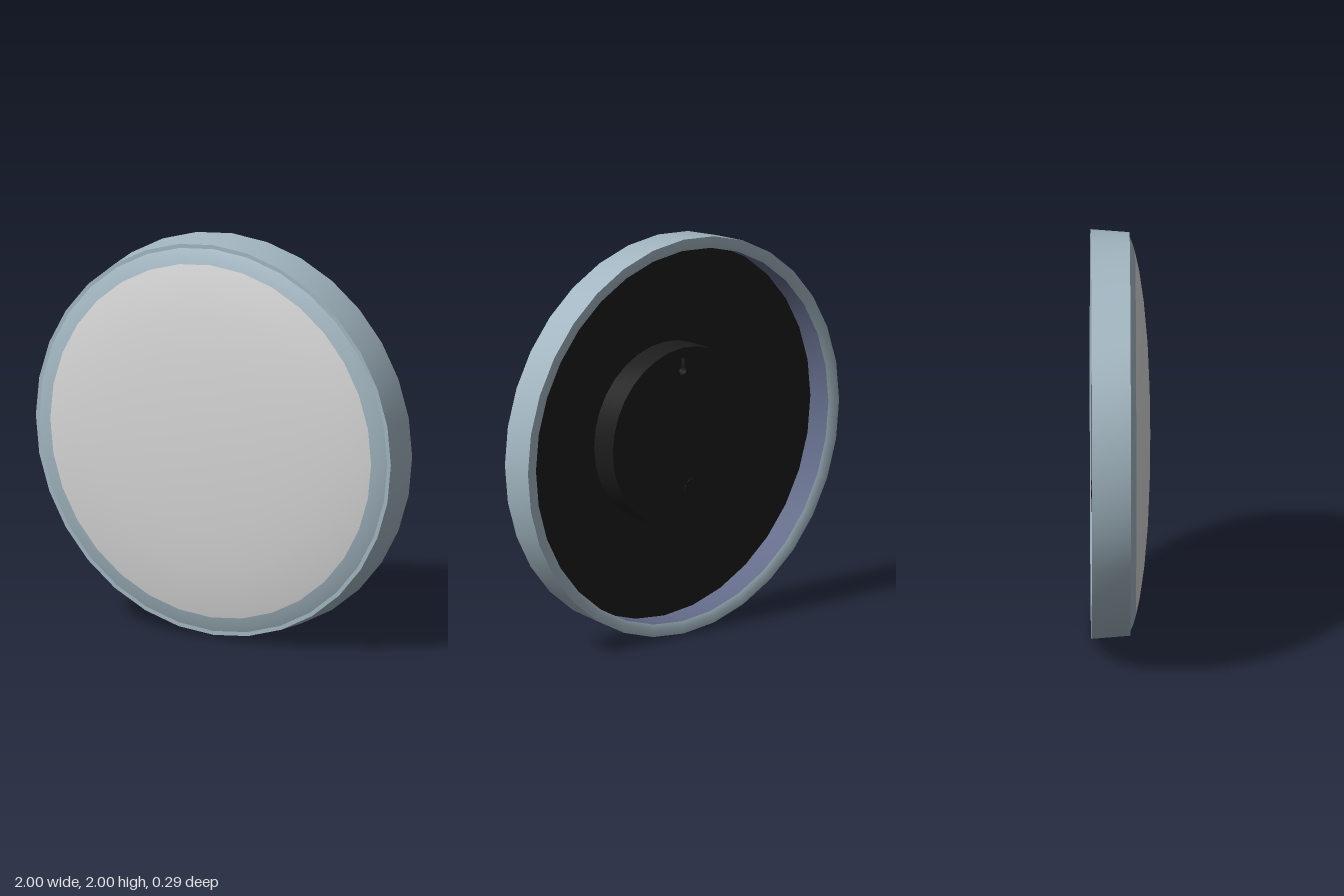
import * as THREE from 'three';
import { toCreasedNormals } from 'three/addons/utils/BufferGeometryUtils.js';

const SIDES = 32;

function material(name, color) {
  const m = new THREE.MeshStandardMaterial({ color });
  m.name = name;
  return m;
}

export function createModel() {
  const model = new THREE.Group();
  model.name = 'roundWallLamp';
  const body = new THREE.Group();
  body.name = 'body';
  body.position.y = 1;
  model.add(body);

  const rimBlue = material('pale blue grey', 0xa2b6c1);
  const coverGrey = material('light grey', 0xd6d6d6);
  const innerBlue = material('slate blue', 0x626a88);
  const black = material('black', 0x1c1c1c);

  function add(name, geometry, mat) {
    const mesh = new THREE.Mesh(geometry, mat);
    mesh.name = name;
    body.add(mesh);
    return mesh;
  }

  // Turns a profile of [radius, z] points around the z axis
  function turned(name, profile, mat) {
    const points = profile.map(([r, z]) => new THREE.Vector2(r, z));
    const geometry = new THREE.LatheGeometry(points, SIDES).rotateX(Math.PI / 2);
    return add(name, toCreasedNormals(geometry, 0.5), mat);
  }

  // Rim: rear lip, outer wall and the front step
  turned('rim', [[0.94, -0.135], [0.96, -0.145], [1, -0.145], [0.985, 0.045], [0.965, 0.045]], rimBlue);
  turned('innerWall', [[0.94, 0], [0.94, -0.135]], innerBlue);

  // Domed front: blue border around the pale cover
  turned('coverBorder', [[0.965, 0.045], [0.93, 0.06], [0.89, 0.072]], rimBlue);
  turned('cover', [[0.89, 0.072], [0.8, 0.092], [0.65, 0.114], [0.45, 0.132], [0.22, 0.142], [0, 0.145]], coverGrey);

  // Recessed back plate
  turned('backPlate', [[0, 0], [0.94, 0]], black);

  // Mounting hub with a keyhole cut through it
  const hubShape = new THREE.Shape().absarc(0, 0, 0.45, 0, Math.PI * 2);
  const keyhole = new THREE.Path();
  keyhole.moveTo(0.01, 0.4);
  keyhole.lineTo(-0.01, 0.4);
  keyhole.lineTo(-0.01, 0.35);
  keyhole.absarc(0, 0.335, 0.022, Math.PI * 0.65, Math.PI * 2.35);
  keyhole.lineTo(0.01, 0.35);
  hubShape.holes.push(keyhole);
  const hubGeometry = new THREE.ExtrudeGeometry(hubShape, { depth: 0.14, bevelEnabled: false, curveSegments: 16 });
  add('hub', toCreasedNormals(hubGeometry, 0.5), black).position.z = -0.14;

  // Slotted screw head made of two half discs
  const screw = new THREE.Group();
  screw.name = 'screw';
  screw.position.set(-0.055, -0.27, -0.145);
  screw.rotation.z = 0.7;
  for (const turn of [0, Math.PI]) {
    const half = new THREE.Shape().absarc(0, 0, 0.045, 0.18, Math.PI - 0.18);
    const mesh = new THREE.Mesh(
      new THREE.ExtrudeGeometry(half, { depth: 0.006, bevelEnabled: false, curveSegments: 8 }), black);
    mesh.name = 'screwHalf';
    mesh.rotation.z = turn;
    screw.add(mesh);
  }
  body.add(screw);

  return model;
}
